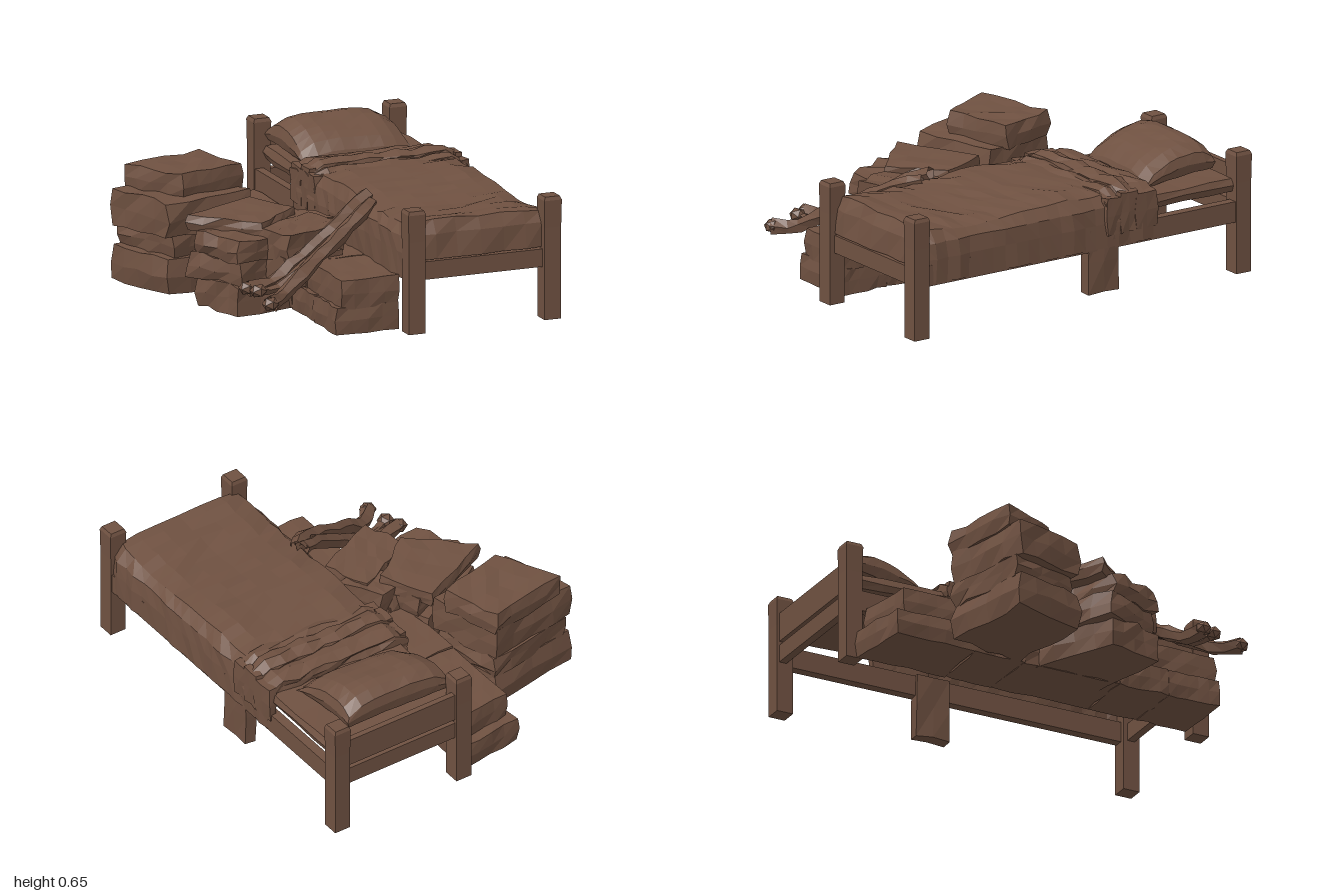
import * as THREE from 'three';

const brown = new THREE.MeshStandardMaterial({ color: 0x6f5141, flatShading: true, side: THREE.DoubleSide });
brown.name = 'worn brown';

// Repeatable noise from a position, so shared corners move together
const noise = (x, y, z, k) => {
  const s = Math.sin(x * 127.1 + y * 311.7 + z * 74.7 + k * 53.3) * 43758.5453;
  return (s - Math.floor(s)) * 2 - 1;
};
const r3 = (v) => Math.round(v * 1000) / 1000 + 0;

// Moves every vertex by a rule, then refreshes normals
function warp(geo, rule) {
  const p = geo.attributes.position;
  for (let i = 0; i < p.count; i++) {
    p.setXYZ(i, ...rule(r3(p.getX(i)), r3(p.getY(i)), r3(p.getZ(i))));
  }
  geo.computeVertexNormals();
  return geo;
}

// Point inside four floor corners [x, z]: back left, back right, front right, front left
const inQuad = (c, u, v) => [0, 1].map((i) =>
  (c[0][i] * (1 - u) + c[1][i] * u) * (1 - v) + (c[3][i] * (1 - u) + c[2][i] * u) * v);

export function createModel() {
  const model = new THREE.Group();
  model.name = 'bedWithPiles';
  const add = (name, geo, parent = model) => {
    const m = new THREE.Mesh(geo, brown);
    m.name = name;
    parent.add(m);
    return m;
  };
  const group = (name) => {
    const g = new THREE.Group();
    g.name = name;
    model.add(g);
    return g;
  };

  // Plain beam between two corners
  const beam = (name, x0, x1, y0, y1, z0, z1, parent) => {
    const m = add(name, new THREE.BoxGeometry(x1 - x0, y1 - y0, z1 - z0), parent);
    m.position.set((x0 + x1) / 2, (y0 + y1) / 2, (z0 + z1) / 2);
  };

  // Crumpled slab over four floor corners
  let seed = 0;
  const slab = (name, c, y0, y1, rough, parent = model, nx = 4, nz = 4) => {
    const k = ++seed;
    const [cx, cz] = inQuad(c, 0.5, 0.5);
    add(name, warp(new THREE.BoxGeometry(1, 1, 1, nx, 2, nz), (x, y, z) => {
      const [qx, qz] = inQuad(c, x + 0.5, z + 0.5);
      const inset = 1 - 0.08 * Math.abs(y);
      return [
        cx + (qx - cx) * inset + noise(x, y, z, k) * rough,
        Math.max(0.008, y0 + (y + 0.5) * (y1 - y0) + noise(x, y, z, k + 20) * rough * 0.7),
        cz + (qz - cz) * inset + noise(x, y, z, k + 40) * rough,
      ];
    }), parent);
  };

  // Bed frame: four posts with bevelled tops, rails and head boards
  const frame = group('bedFrame');
  for (const x of [0.098, 0.815]) {
    for (const z of [-0.953, 0.953]) {
      const post = add('bedPost', warp(new THREE.BoxGeometry(0.09, 0.615, 0.09, 1, 8, 1), (px, py, pz) => {
        const s = py > 0.3 ? 0.86 : py > 0.2 ? 1.03 : 0.97;
        return [px * s, py > 0.2 && py < 0.3 ? 0.29 : py, pz * s];
      }), frame);
      post.position.set(x, 0.316, z);
    }
  }
  beam('sideRail', 0.8, 0.85, 0.27, 0.375, -0.93, 0.93, frame);
  beam('sideRail', 0.06, 0.105, 0.27, 0.375, -0.93, 0.93, frame);
  beam('lowerHeadRail', 0.12, 0.8, 0.27, 0.36, -0.985, -0.945, frame);
  beam('upperHeadRail', 0.12, 0.8, 0.38, 0.53, -0.985, -0.955, frame);
  beam('footRail', 0.12, 0.8, 0.27, 0.36, 0.93, 0.97, frame);

  // Mattress showing at the head end
  slab('mattress', [[0.1, -0.93], [0.83, -0.93], [0.84, -0.3], [0.08, -0.3]], 0.42, 0.488, 0.008, model, 5, 4);

  // Blanket: a draped profile swept down the bed, dropping over the foot
  const profile = [[0.05, 0.27], [0.045, 0.4], [0.055, 0.48], [0.09, 0.53], [0.2, 0.545], [0.32, 0.543],
    [0.45, 0.54], [0.58, 0.543], [0.7, 0.545], [0.8, 0.53], [0.845, 0.48], [0.855, 0.4], [0.855, 0.28]];
  const n = profile.length - 1, rows = 22;
  const blanket = new THREE.PlaneGeometry(n, rows, n, rows).rotateX(-Math.PI / 2);
  add('blanket', warp(blanket, (gx, gy, gz) => {
    const i = Math.round(gx + n / 2), j = Math.round(gz + rows / 2);
    const side = i < 3 || i > n - 3;
    let [x, y] = profile[i];
    let z = -0.42 + Math.min(j, rows - 2) * 0.0675;
    if (!side) y += 0.012 * Math.sin(z * 7 + 1) + noise(i, j, 1, 7) * 0.008;
    else x += noise(i, j, 2, 7) * 0.008;
    if (!side && j === 0) y = 0.485;
    if (j > rows - 3) {
      z = [0.925, 0.955, 0.965][j - rows + 2] + noise(i, j, 3, 7) * 0.006;
      x = 0.45 + (x - 0.45) * 0.95;
      if (j > rows - 2) y = Math.min(y, j === rows ? 0.368 : 0.49);
    }
    return [x, y, z + noise(i, j, 4, 7) * 0.006];
  }));

  // Turned-down folds of the blanket, draping over both sides
  [[-0.44, -0.31, 0.565], [-0.33, -0.22, 0.582], [-0.24, -0.14, 0.565]].forEach(([z0, z1, top], f) => {
    const fold = new THREE.BoxGeometry(1, 1, 1, 10, 2, 2);
    add('blanketFold', warp(fold, (x, y, z) => {
      const edge = Math.abs(x) > 0.45 ? 0.045 : 0;
      return [0.45 + x * 0.81, top - 0.035 + y * 0.055 - edge - Math.abs(z) * 0.03 + noise(x, y, z, f) * 0.008,
        (z0 + z1) / 2 + z * (z1 - z0) + noise(x, y, z, f + 9) * 0.015];
    }));
    for (const x of [0.045, 0.82]) {
      slab('foldDrape', [[x, z0], [x + 0.04, z0], [x + 0.04, z1], [x, z1]], 0.34, top - 0.04, 0.006, model, 1, 2);
    }
  });
  slab('hangingCloth', [[0.785, -0.22], [0.852, -0.22], [0.852, -0.04], [0.785, -0.04]], 0.055, 0.38, 0.007, model, 1, 2);

  // Pillow: a wedge rising to the head end, soft at the rim and dented in the middle
  const pillow = [[0.11, -0.91], [0.71, -0.89], [0.72, -0.465], [0.14, -0.51]];
  add('pillow', warp(new THREE.BoxGeometry(1, 1, 1, 8, 2, 8), (x, y, z) => {
    const v = z + 0.5;
    const [qx, qz] = inQuad(pillow, x + 0.5, v);
    const soft = (Math.abs(y) > 0.1 ? 0.95 : 1) - 0.12 * (0.25 - Math.min(x * x, z * z));
    const bottom = 0.515 - v * 0.035;
    const top = 0.55 + 0.11 * Math.cos((v - 0.2) * 1.75) - 0.05 * (2 * x) ** 4 - 0.03 * (2 * z) ** 6
      - 0.012 * Math.exp(-30 * (x * x + z * z));
    return [0.42 + (qx - 0.42) * soft, bottom + (y + 0.5) * (top - bottom) + noise(x, y, z, 3) * 0.004,
      -0.695 + (qz + 0.695) * soft];
  }));

  // Long low stack beside the bed: two layers, each of several bundles
  const low = group('longStack');
  const cuts = [[-0.92, -0.46, -0.2, 0.33, 0.6, 0.87], [-0.87, -0.4, 0.1, 0.45, 0.87]];
  cuts.forEach((zs, layer) => {
    for (let i = 0; i < zs.length - 1; i++) {
      const a = zs[i] - 0.008, b = zs[i + 1] + 0.008;
      const back = i === 0 ? 0.025 : 0;
      const x0 = layer ? -0.255 : -0.28;
      slab('foldedBundle', [[x0 - back / 2, a + back], [0.06, a - back], [0.06, b], [x0, b]],
        layer ? 0.135 : 0.01, layer ? 0.28 : 0.145, 0.007, low, 4, 5);
    }
  });

  // Tall pile at the back
  const tall = group('tallPile');
  const A = [[-0.87, -0.53], [-0.34, -0.63], [-0.25, -0.22], [-0.74, -0.13]];
  const A2 = [[-0.83, -0.53], [-0.34, -0.63], [-0.27, -0.25], [-0.7, -0.16]];
  const A3 = [[-0.79, -0.55], [-0.34, -0.645], [-0.25, -0.33], [-0.62, -0.23]];
  slab('pileBlock', A, 0.01, 0.19, 0.012, tall);
  slab('pileBlock', A2, 0.18, 0.3, 0.014, tall);
  slab('pileBlock', A, 0.29, 0.47, 0.012, tall);
  slab('pileBlock', A3, 0.46, 0.58, 0.01, tall);

  // Wider pile in front, leaning on the long stack
  const wide = group('widePile');
  const B = [[-0.69, 0.08], [-0.24, -0.13], [-0.1, 0.28], [-0.58, 0.38]];
  const B2 = [[-0.72, 0.05], [-0.27, -0.16], [-0.14, 0.2], [-0.56, 0.36]];
  slab('pileBlock', B, 0.01, 0.16, 0.014, wide);
  slab('pileBlock', B2, 0.15, 0.28, 0.014, wide);
  slab('pileBlock', [[-0.42, 0.12], [-0.16, -0.02], [-0.04, 0.42], [-0.38, 0.47]], 0.15, 0.3, 0.012, wide);
  slab('pileBlock', B, 0.27, 0.39, 0.014, wide);
  slab('topBlock', [[-0.71, 0.01], [-0.28, -0.19], [-0.15, 0.08], [-0.42, 0.29]], 0.37, 0.45, 0.009, wide);
  slab('sideBundle', [[-0.25, 0.0], [-0.1, -0.01], [0.01, 0.2], [-0.2, 0.25]], 0.28, 0.415, 0.01, wide);
  slab('frontBundle', [[-0.44, 0.25], [-0.08, 0.08], [0.0, 0.34], [-0.36, 0.49]], 0.28, 0.42, 0.01, wide);

  // Twisted strips of cloth trailing off the bed, ending in knots
  const strips = [
    [[0.1, 0.55, 0.37], [0, 0.51, 0.42], [-0.16, 0.41, 0.48], [-0.35, 0.3, 0.53], [-0.5, 0.22, 0.57], [-0.63, 0.22, 0.6]],
    [[0.1, 0.53, 0.41], [0, 0.49, 0.5], [-0.16, 0.4, 0.58], [-0.35, 0.29, 0.66], [-0.52, 0.19, 0.74], [-0.6, 0.19, 0.82]],
    [[0.09, 0.53, 0.4], [0, 0.48, 0.46], [-0.16, 0.39, 0.54], [-0.35, 0.28, 0.59], [-0.5, 0.21, 0.63], [-0.6, 0.22, 0.67]],
  ];
  strips.forEach((pts, s) => {
    const curve = new THREE.CatmullRomCurve3(pts.map((p) => new THREE.Vector3(...p)));
    add('trailingStrip', warp(new THREE.TubeGeometry(curve, 12, s < 2 ? 0.037 : 0.02, 5), (x, y, z) =>
      [x + noise(x, y, z, s) * 0.006, y + noise(x, y, z, s + 3) * 0.007, z + noise(x, y, z, s + 6) * 0.008]));
    const knot = add('stripKnot', new THREE.IcosahedronGeometry(0.042, 0));
    knot.scale.set(1.05, 0.85, 1);
    knot.position.set(...pts[5]);
  });

  return model;
}
